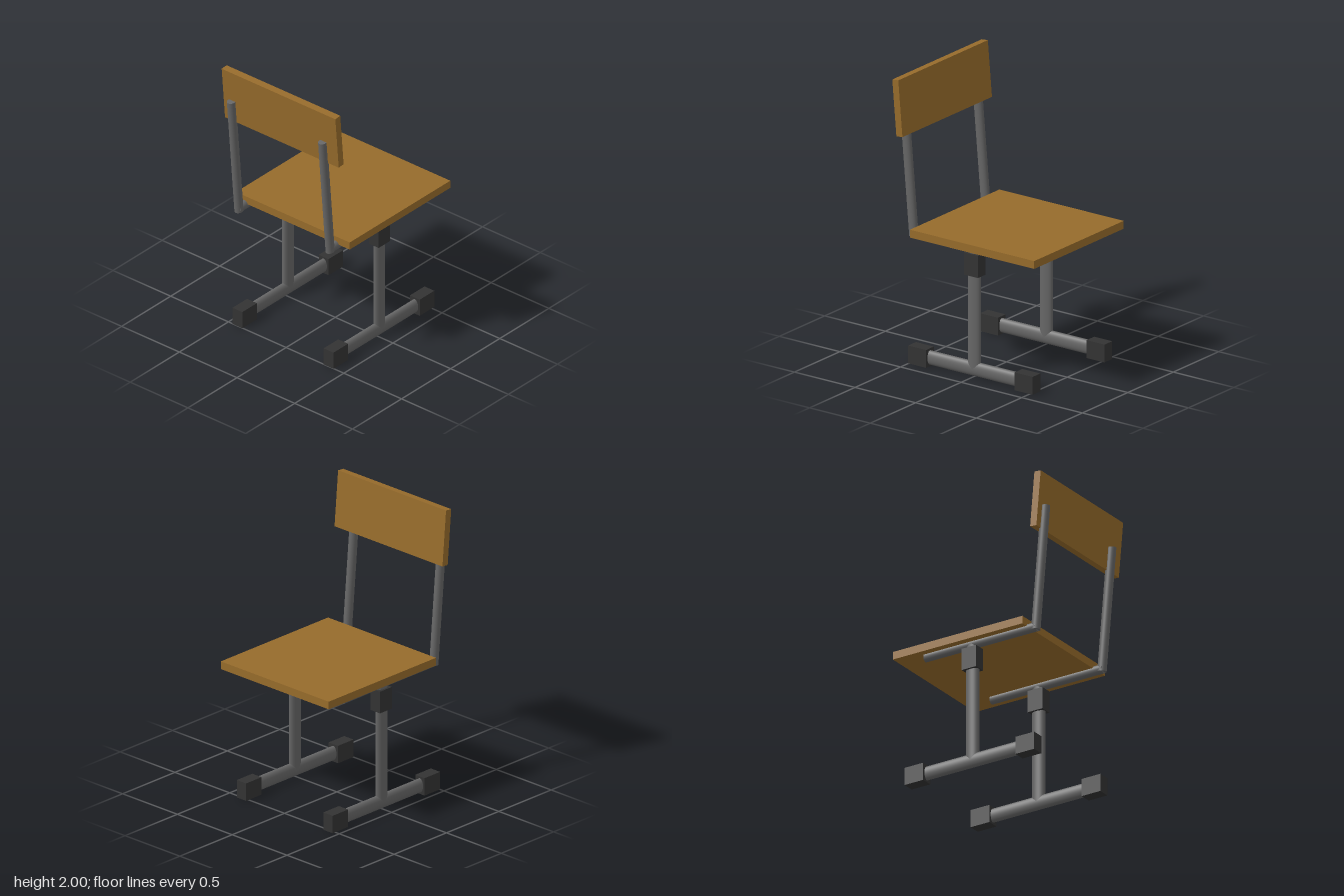
import * as THREE from 'three';

const wood = new THREE.MeshStandardMaterial({ color: 0x966b2b });
const metal = new THREE.MeshStandardMaterial({ color: 0x666666 });
const plastic = new THREE.MeshStandardMaterial({ color: 0x333333 });

const TILT = 0.087; // backward lean of the backrest
const SIDES = [['left', 0.37], ['right', -0.42]];

function add(parent, name, geometry, material, x, y, z, tilt = 0) {
  const mesh = new THREE.Mesh(geometry, material);
  mesh.name = name;
  mesh.position.set(x, y, z);
  mesh.rotation.x = tilt;
  parent.add(mesh);
}

// Upright oval tube: narrow across x, wider along z
function ovalTube(width, depth, length) {
  return new THREE.CylinderGeometry(0.5, 0.5, length, 32).scale(width, 1, depth);
}

export function createModel() {
  const chair = new THREE.Group();
  chair.name = 'chair';

  // Wooden boards
  add(chair, 'seat', new THREE.BoxGeometry(0.985, 0.055, 1.025), wood, -0.002, 0.947, -0.083);
  add(chair, 'backrest', new THREE.BoxGeometry(0.985, 0.392, 0.05), wood, -0.002, 1.803, 0.533, TILT);

  for (const [side, x] of SIDES) {
    const frame = new THREE.Group();
    frame.name = side + 'Frame';
    frame.position.x = x;
    chair.add(frame);

    // Floor runner with square end caps
    add(frame, 'floorRunner', ovalTube(0.056, 0.1, 0.95), metal, 0, 0.062, -0.012, Math.PI / 2);
    add(frame, 'frontFootCap', new THREE.BoxGeometry(0.085, 0.125, 0.148), plastic, 0, 0.0625, 0.428);
    add(frame, 'rearFootCap', new THREE.BoxGeometry(0.085, 0.125, 0.148), plastic, 0, 0.0625, -0.45);

    // Leg and its collar
    add(frame, 'leg', ovalTube(0.056, 0.1, 0.84), metal, 0, 0.482, -0.014);
    add(frame, 'legCollar', new THREE.BoxGeometry(0.085, 0.155, 0.115), plastic, 0, 0.798, -0.015);

    // Rail under the seat and leaning back support
    add(frame, 'seatRail', ovalTube(0.056, 0.066, 0.885), metal, 0, 0.908, 0.057, Math.PI / 2);
    add(frame, 'backSupport', ovalTube(0.056, 0.066, 0.886), metal, 0, 1.328, 0.525, TILT);
  }
  return chair;
}
